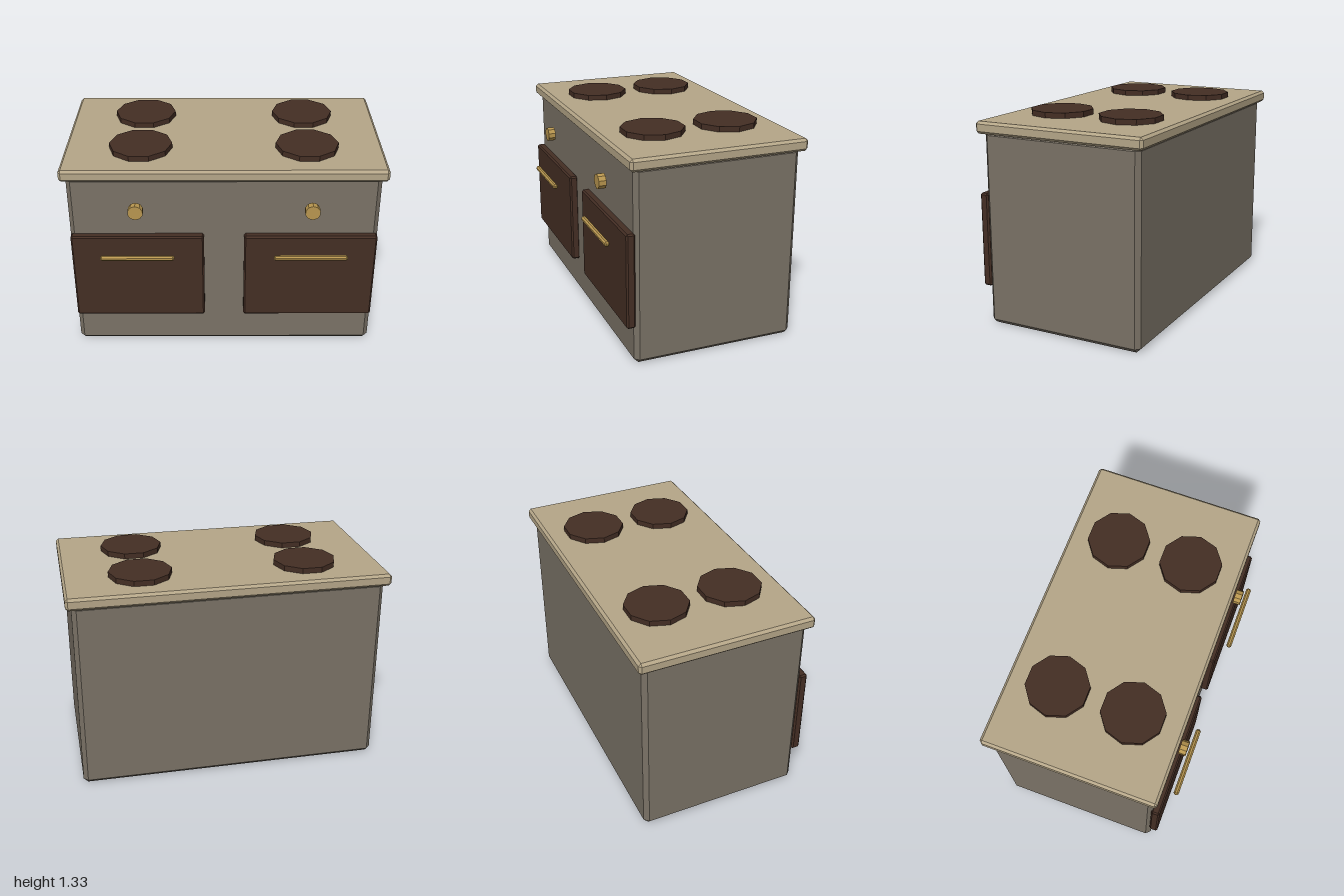
import * as THREE from 'three';
import { ConvexGeometry } from 'three/addons/geometries/ConvexGeometry.js';

const material = (name, color) => {
  const m = new THREE.MeshStandardMaterial({ color });
  m.name = name;
  return m;
};

// Box between two corners with every edge cut by a flat chamfer c
function chamferBox(min, max, c) {
  const mid = min.map((v, i) => (v + max[i]) / 2);
  const half = max.map((v, i) => (v - min[i]) / 2);
  const points = [];
  for (const sx of [-1, 1]) for (const sy of [-1, 1]) for (const sz of [-1, 1]) {
    for (let axis = 0; axis < 3; axis++) {
      const p = [sx, sy, sz].map((s, i) => mid[i] + s * (half[i] - (i === axis ? 0 : c)));
      points.push(new THREE.Vector3(...p));
    }
  }
  return new ConvexGeometry(points);
}

export function createModel() {
  const group = new THREE.Group();
  group.name = 'stove';
  const enamel = material('grey enamel', 0x7a7266);
  const stone = material('beige worktop', 0xb5a688);
  const iron = material('dark brown iron', 0x442e24);
  const brass = material('brass', 0xb8964f);

  const add = (name, geometry, mat) => {
    const mesh = new THREE.Mesh(geometry.toNonIndexed ? (geometry.index ? geometry.toNonIndexed() : geometry) : geometry, mat);
    mesh.geometry.computeVertexNormals();
    mesh.name = name;
    group.add(mesh);
    return mesh;
  };

  // Main case and overhanging worktop
  add('body', chamferBox([-0.965, 0, -0.563], [0.965, 1.235, 0.486], 0.028), enamel);
  add('worktop', chamferBox([-1, 1.218, -0.597], [1, 1.295, 0.52], 0.016), stone);

  for (const [side, s] of [['right', -1], ['left', 1]]) {
    // Oven door with its bar handle and control knob
    const x = s * 0.542;
    add(side + 'Door', chamferBox([x - 0.416, 0.242, 0.478], [x + 0.416, 0.841, 0.534], 0.01), iron);
    add(side + 'Handle', chamferBox([x - 0.231, 0.702, 0.567], [x + 0.231, 0.734, 0.6], 0.01), brass);
    const knob = new THREE.CylinderGeometry(0.0475, 0.0475, 0.047, 10).rotateX(Math.PI / 2);
    add(side + 'Knob', knob, brass).position.set(x, 1.032, 0.543);

    // Ten-sided hot plates, back and front
    for (const [row, z] of [['Back', -0.283], ['Front', 0.2]]) {
      const plate = new THREE.CylinderGeometry(0.198, 0.198, 0.045, 10).rotateY(Math.PI / 2);
      add(side + row + 'Burner', plate, iron).position.set(s * 0.522, 1.3065, z);
    }
  }
  return group;
}
